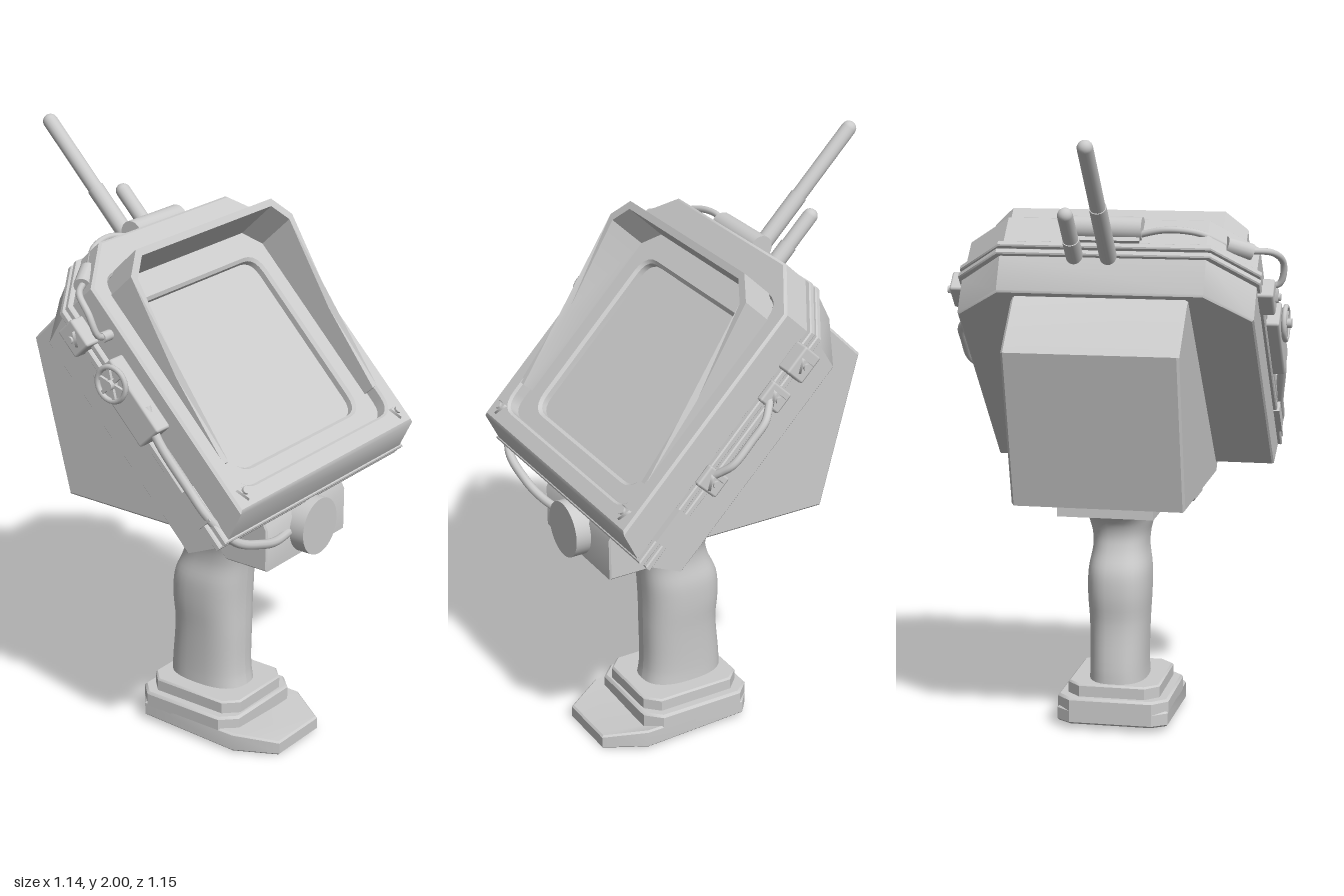
import * as THREE from 'three';
import { toCreasedNormals } from 'three/addons/utils/BufferGeometryUtils.js';
import { RoundedBoxGeometry } from 'three/addons/geometries/RoundedBoxGeometry.js';

const material = new THREE.MeshStandardMaterial({ color: 0xcccccc });
const V = (x, y, z) => new THREE.Vector3(x, y, z);

function add(parent, name, geometry, x = 0, y = 0, z = 0) {
  const mesh = new THREE.Mesh(geometry, material);
  mesh.name = name;
  mesh.position.set(x, y, z);
  parent.add(mesh);
  return mesh;
}

// Move every vertex by a rule, then rebuild normals with sharp creases.
function reshape(geometry, rule = () => {}) {
  const p = geometry.attributes.position;
  const v = V(0, 0, 0);
  for (let i = 0; i < p.count; i++) {
    rule(v.fromBufferAttribute(p, i));
    p.setXYZ(i, v.x, v.y, v.z);
  }
  return toCreasedNormals(geometry, 0.6);
}

const polygon = (pts) => new THREE.Shape(pts.map(([x, y]) => new THREE.Vector2(x, y)));

// Extrusion whose total depth includes an inset bevel.
function slab(shape, depth, bevel = 0) {
  return new THREE.ExtrudeGeometry(shape, {
    depth: depth - 2 * bevel, bevelEnabled: bevel > 0, bevelThickness: bevel,
    bevelSize: bevel, bevelOffset: -bevel, bevelSegments: 1, curveSegments: 5,
  }).translate(0, 0, bevel);
}

// Extrude a [z, y] profile sideways, centred on x = 0.
function sideways(pts, width, bevel) {
  return reshape(slab(polygon(pts), width, bevel).translate(0, 0, -width / 2).rotateY(-Math.PI / 2));
}

// Extrude an [x, z] outline upwards.
const upwards = (pts, height, bevel) =>
  slab(polygon(pts.map(([x, z]) => [x, -z])), height, bevel).rotateX(-Math.PI / 2);

// Mirror a half outline (x >= 0, listed from one end to the other).
const mirrored = (half) => [...half, ...half.slice().reverse().map(([x, y]) => [-x, y])];

// Case outline with clipped top corners.
const caseOutline = (w, h) => polygon(mirrored([[w, -h], [w, h - 0.13], [w - 0.15, h]]));

function roundedRect(w, bottom, top, r, Type = THREE.Shape) {
  const s = new Type();
  s.moveTo(-w + r, bottom).lineTo(w - r, bottom).quadraticCurveTo(w, bottom, w, bottom + r);
  s.lineTo(w, top - r).quadraticCurveTo(w, top, w - r, top);
  s.lineTo(-w + r, top).quadraticCurveTo(-w, top, -w, top - r);
  s.lineTo(-w, bottom + r).quadraticCurveTo(-w, bottom, -w + r, bottom);
  return s;
}

const tube = (pts, r) =>
  new THREE.TubeGeometry(new THREE.CatmullRomCurve3(pts.map((p) => V(...p))), 48, r, 10);

// Contoured grip lofted through oval rings: [y, back z, front z, half width].
function gripGeometry() {
  const rings = [
    [0.13, -0.02, 0.275, 0.1], [0.2, -0.018, 0.263, 0.097], [0.35, -0.005, 0.262, 0.1],
    [0.45, -0.012, 0.262, 0.106], [0.53, -0.005, 0.266, 0.105], [0.6, 0.025, 0.272, 0.094],
    [0.65, 0.035, 0.282, 0.096], [0.7, 0.02, 0.296, 0.108], [0.77, -0.05, 0.315, 0.115],
  ];
  const curve = (k) => new THREE.CatmullRomCurve3(rings.map((r) => V(r[0], r[k], 0)));
  const [back, front, wide] = [1, 2, 3].map(curve);
  const geometry = new THREE.CylinderGeometry(1, 1, 1, 32, 32, true);
  reshapeGrip(geometry, back, front, wide);
  geometry.computeVertexNormals();
  return geometry;
}

function reshapeGrip(geometry, back, front, wide) {
  const p = geometry.attributes.position;
  const soft = (c) => Math.sign(c) * Math.abs(c) ** 0.8;
  for (let i = 0; i < p.count; i++) {
    const t = p.getY(i) + 0.5;
    const b = back.getPoint(t), f = front.getPoint(t), w = wide.getPoint(t);
    p.setXYZ(i, soft(p.getX(i)) * w.y, b.x, (b.y + f.y) / 2 + soft(p.getZ(i)) * (f.y - b.y) / 2);
  }
}

// Three-sided fastener on a round washer, facing +z.
function fastener(parent, x, y, z, turn = 0) {
  const g = new THREE.Group();
  g.name = 'fastener';
  add(g, 'washer', new THREE.CylinderGeometry(0.027, 0.032, 0.014, 3).rotateX(Math.PI / 2));
  add(g, 'boltHead', new THREE.CylinderGeometry(0.012, 0.012, 0.03, 12).rotateX(Math.PI / 2));
  g.position.set(x, y, z);
  g.rotation.y = turn;
  parent.add(g);
}

export function createModel() {
  const model = new THREE.Group();
  model.name = 'handheldMonitor';

  // Foot and grip
  const foot = mirrored([[0.11, 0.485], [0.19, 0.35], [0.19, -0.02], [0.14, -0.06]]);
  add(model, 'footPlate', reshape(upwards(foot, 0.07, 0.006), (v) => {
    if (v.y < 0.03) v.y += 0.02 * (0.485 - v.z) / 0.545;
    else if (v.z > 0.4) v.y -= 0.02;
  }));
  const tier = (w, f, b, c) => mirrored([[w - c, f], [w, f - c], [w, b + c], [w - c, b]]);
  add(model, 'footBlock', reshape(upwards(tier(0.19, 0.34, -0.06, 0.05), 0.06, 0.008)), 0, 0.05, 0);
  add(model, 'footCollar', reshape(upwards(tier(0.157, 0.325, -0.035, 0.045), 0.05, 0.006)), 0, 0.103, 0);
  add(model, 'grip', gripGeometry());
  add(model, 'mountPlate', new THREE.BoxGeometry(0.32, 0.07, 0.5), 0, 0.788, 0.11);

  // Front lamp block under the case
  add(model, 'lampBlock', sideways([[0.26, 0.8], [0.34, 0.718], [0.5, 0.718], [0.5, 0.86], [0.47, 0.912], [0.26, 0.912]], 0.44, 0.005));
  add(model, 'lampBarrel', reshape(new THREE.CylinderGeometry(0.095, 0.095, 0.2, 36).rotateX(Math.PI / 2)), 0, 0.815, 0.452);

  // Rear housing
  add(model, 'rearHousing', sideways([[-0.25, 1.48], [-0.397, 1.33], [-0.26, 0.81], [0.4, 0.81], [0.45, 0.88], [-0.2, 1.5]], 0.57, 0.008));

  // Tilted case: local y runs up the screen, local z faces out of it
  const head = new THREE.Group();
  head.name = 'tiltedCase';
  head.position.set(0, 1.28, 0.18);
  head.rotation.x = -0.767;
  model.add(head);

  add(head, 'rearShell', reshape(slab(caseOutline(0.485, 0.495), 0.12, 0.006), (v) => {
    if (v.z < 0.03) v.y *= 0.92;
  }), 0, 0, -0.15);
  add(head, 'rearSealRib', reshape(slab(caseOutline(0.497, 0.505), 0.022, 0.004)), 0, 0, -0.032);
  add(head, 'sealGroove', reshape(slab(caseOutline(0.478, 0.488), 0.05)), 0, 0, -0.03);
  add(head, 'frontSealRib', reshape(slab(caseOutline(0.497, 0.505), 0.022, 0.004)), 0, 0, 0.0);

  // Front bezel, screen surround and screen
  const bezel = caseOutline(0.48, 0.5);
  bezel.holes.push(roundedRect(0.412, -0.395, 0.385, 0.06, THREE.Path));
  add(head, 'bezel', reshape(slab(bezel, 0.115, 0.008), (v) => {
    if (v.y < -0.45) v.y += 0.042 * v.z / 0.115;
  }), 0, 0, 0.015);
  const surround = roundedRect(0.425, -0.41, 0.4, 0.06);
  surround.holes.push(roundedRect(0.33, -0.335, 0.28, 0.06, THREE.Path));
  add(head, 'screenSurround', reshape(slab(surround, 0.07, 0.01)), 0, 0, 0.015);
  add(head, 'screen', reshape(slab(roundedRect(0.34, -0.345, 0.29, 0.05), 0.04)), 0, 0, 0.015);

  // Sun hood: deeper towards the top
  const hoodHeight = (y) => y < 0.01
    ? THREE.MathUtils.mapLinear(Math.max(y, -0.3), -0.3, 0.0, 0.128, 0.163)
    : THREE.MathUtils.mapLinear(y, 0, 0.385, 0.163, 0.252);
  const arch = (w, t, c) => [[w, -0.3], [w, 0], [w, t - c], [w - c, t]];
  const hoodOutline = [...mirrored(arch(0.425, 0.395, 0.07)), ...mirrored(arch(0.4, 0.372, 0.06)).reverse()];
  add(head, 'sunHood', reshape(slab(polygon(hoodOutline), 1), (v) => {
    v.z = v.z > 0.5 ? hoodHeight(v.y) : 0.08;
  }));

  // Paired details on both sides
  for (const s of [-1, 1]) {
    fastener(head, s * 0.425, -0.405, 0.132);
    add(head, 'sideClip', new RoundedBoxGeometry(0.06, 0.1, 0.075, 1, 0.008), s * 0.505, 0.28, -0.005);
    fastener(head, s * 0.538, 0.28, -0.005, s * Math.PI / 2);
    add(head, 'lowerClip', new THREE.BoxGeometry(0.03, 0.12, 0.06), s * 0.49, -0.36, -0.005);
  }

  // Carry handle on the left side
  add(head, 'carryHandle', tube([[0.49, -0.17, 0], [0.525, -0.13, 0], [0.55, -0.09, 0], [0.553, 0, 0], [0.55, 0.07, 0], [0.525, 0.11, 0], [0.49, 0.15, 0]], 0.013));
  for (const y of [-0.17, 0.15]) {
    add(head, 'handleFoot', new RoundedBoxGeometry(0.025, 0.075, 0.09, 1, 0.008), 0.502, y, -0.01);
    fastener(head, 0.52, y, -0.01, Math.PI / 2);
  }

  // Control box with a spoked dial on the right side
  add(head, 'controlBox', new RoundedBoxGeometry(0.07, 0.27, 0.1, 1, 0.008), -0.503, 0.02, 0.03);
  const dial = new THREE.Group();
  dial.name = 'dial';
  dial.position.set(-0.55, 0.09, 0.04);
  dial.rotation.y = Math.PI / 2;
  head.add(dial);
  add(dial, 'dialRim', new THREE.TorusGeometry(0.055, 0.009, 8, 28));
  add(dial, 'dialHub', new THREE.CylinderGeometry(0.016, 0.016, 0.04, 14).rotateX(Math.PI / 2));
  for (let i = 0; i < 3; i++) {
    add(dial, 'dialSpoke', new THREE.BoxGeometry(0.11, 0.012, 0.01)).rotation.z = i * Math.PI / 3;
  }

  // Aerials and the cable module on the top edge
  for (const [x, tip] of [[-0.02, 1.0], [0.09, 0.69]]) {
    const length = tip - 0.46;
    add(head, 'aerial', new THREE.CapsuleGeometry(0.025, length, 5, 18), x, 0.46 + length / 2, -0.03);
    add(head, 'aerialSleeve', new THREE.CylinderGeometry(0.028, 0.028, length * 0.5, 18), x, 0.46 + length / 4, -0.03);
  }
  add(head, 'cableModule', reshape(new THREE.CylinderGeometry(0.04, 0.04, 0.24, 20).rotateZ(Math.PI / 2)), 0, 0.508, 0.075);
  add(head, 'moduleBase', new THREE.BoxGeometry(0.23, 0.05, 0.08), 0, 0.49, 0.06);

  // Cables
  add(model, 'upperCable', tube([[-0.1, 1.68, -0.13], [-0.2, 1.7, -0.145], [-0.3, 1.69, -0.125], [-0.38, 1.65, -0.08], [-0.44, 1.63, -0.05], [-0.52, 1.62, 0], [-0.55, 1.58, 0.06], [-0.535, 1.51, 0.085], [-0.48, 1.5, 0.085]], 0.011));
  const plug = add(model, 'cablePlug', new THREE.CylinderGeometry(0.028, 0.028, 0.09, 14), -0.42, 1.637, -0.06);
  plug.quaternion.setFromUnitVectors(V(0, 1, 0), V(-0.06, -0.02, 0.03).normalize());
  add(model, 'cableSocket', new THREE.CylinderGeometry(0.017, 0.017, 0.05, 12).rotateZ(Math.PI / 2), -0.495, 1.5, 0.085);
  add(model, 'lampCable', tube([[-0.51, 1.31, 0.25], [-0.52, 1.22, 0.3], [-0.5, 1.08, 0.4], [-0.49, 0.99, 0.48], [-0.43, 0.91, 0.53], [-0.3, 0.855, 0.535], [-0.2, 0.825, 0.52], [-0.08, 0.81, 0.49]], 0.015));

  return model;
}
